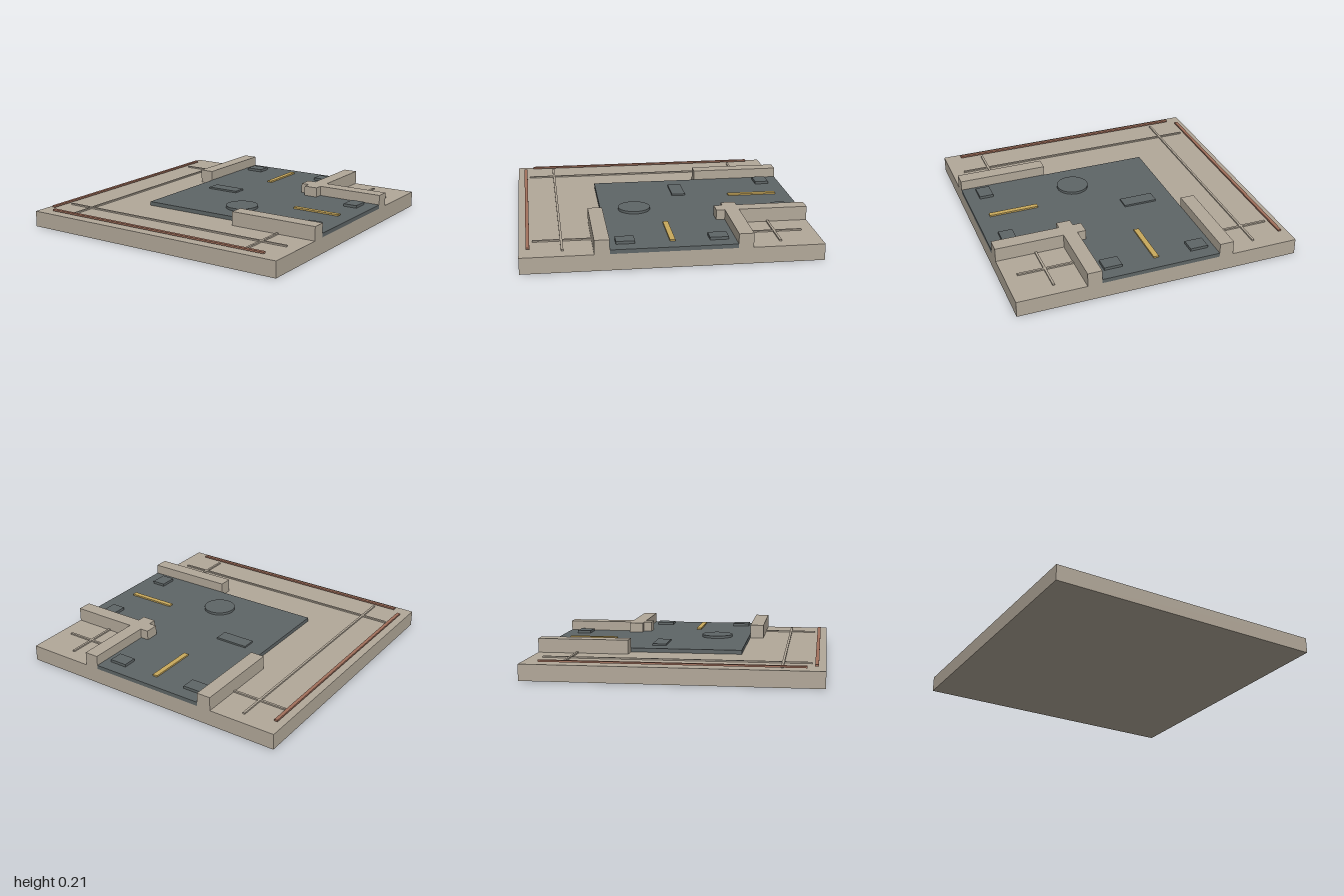
import * as THREE from 'three';

const mat = (name, color) => {
  const m = new THREE.MeshStandardMaterial({ color });
  m.name = name;
  return m;
};

export function createModel() {
  const stone = mat('stone', 0xb2a899);
  const asphalt = mat('asphalt', 0x5e6566);
  const yellow = mat('yellowPaint', 0xc9a95c);
  const brick = mat('brickRed', 0xa2705c);

  const root = new THREE.Group();
  root.name = 'roadCornerTile';
  const add = (name, geometry, material, x, y, z) => {
    const mesh = new THREE.Mesh(geometry, material);
    mesh.name = name;
    mesh.position.set(x, y, z);
    root.add(mesh);
  };
  // Box given by its extents on each axis
  const box = (name, material, [x0, x1], [y0, y1], [z0, z1]) =>
    add(name, new THREE.BoxGeometry(x1 - x0, y1 - y0, z1 - z0), material,
      (x0 + x1) / 2, (y0 + y1) / 2, (z0 + z1) / 2);

  // Paving slab
  box('baseSlab', stone, [-1, 1], [0, 0.112], [-1, 1]);

  // L-shaped road running from the back edge to the left edge
  const shape = new THREE.Shape([
    [-0.42, -0.42], [1, -0.42], [1, 0.42], [0.42, 0.42], [0.42, 1], [-0.42, 1],
  ].map(([x, y]) => new THREE.Vector2(x, y)));
  const road = new THREE.ExtrudeGeometry(shape, { depth: 0.028, bevelEnabled: false });
  road.rotateX(-Math.PI / 2);
  add('road', road, asphalt, 0, 0.112, 0);

  // Raised curbs, crossing at the inner corner
  const curbY = [0.112, 0.21];
  for (const s of [-1, 1]) {
    const side = s < 0 ? [-0.52, -0.42] : [0.42, 0.52];
    box('curbAlongZ', stone, side, curbY, [-1, -0.36]);
    box('curbAlongX', stone, [0.36, 1], curbY, side);
  }

  // Raised paving joints, split where the road lies over them
  const jointY = [0.112, 0.122];
  for (const c of [-0.72, 0.72]) {
    const w = [c - 0.008, c + 0.008];
    box('jointAlongZ', stone, w, jointY, [-0.91, 0.91]);
    box('jointAlongX', stone, [-0.91, 0.91], jointY, w);
  }

  // Brick trim on the two outer sides
  box('trimRight', brick, [-0.953, -0.929], [0.122, 0.134], [-0.88, 0.88]);
  box('trimFront', brick, [-0.88, 0.88], [0.122, 0.134], [0.929, 0.953]);

  // Lane dashes
  box('dashBack', yellow, [-0.018, 0.018], [0.143, 0.154], [-0.9, -0.545]);
  box('dashLeft', yellow, [0.545, 0.9], [0.143, 0.154], [-0.018, 0.018]);

  // Drain covers at both road ends
  for (const c of [-0.31, 0.31]) {
    const w = [c - 0.063, c + 0.063];
    box('drainBack', asphalt, w, [0.14, 0.159], [-0.91, -0.81]);
    box('drainLeft', asphalt, [0.805, 0.905], [0.14, 0.159], w);
  }

  // Repair patch and manhole cover
  box('repairPatch', asphalt, [-0.283, -0.043], [0.14, 0.152], [-0.23, -0.132]);
  add('manholeCover', new THREE.CylinderGeometry(0.114, 0.114, 0.018, 32), asphalt, 0.217, 0.149, 0.18);

  return root;
}
